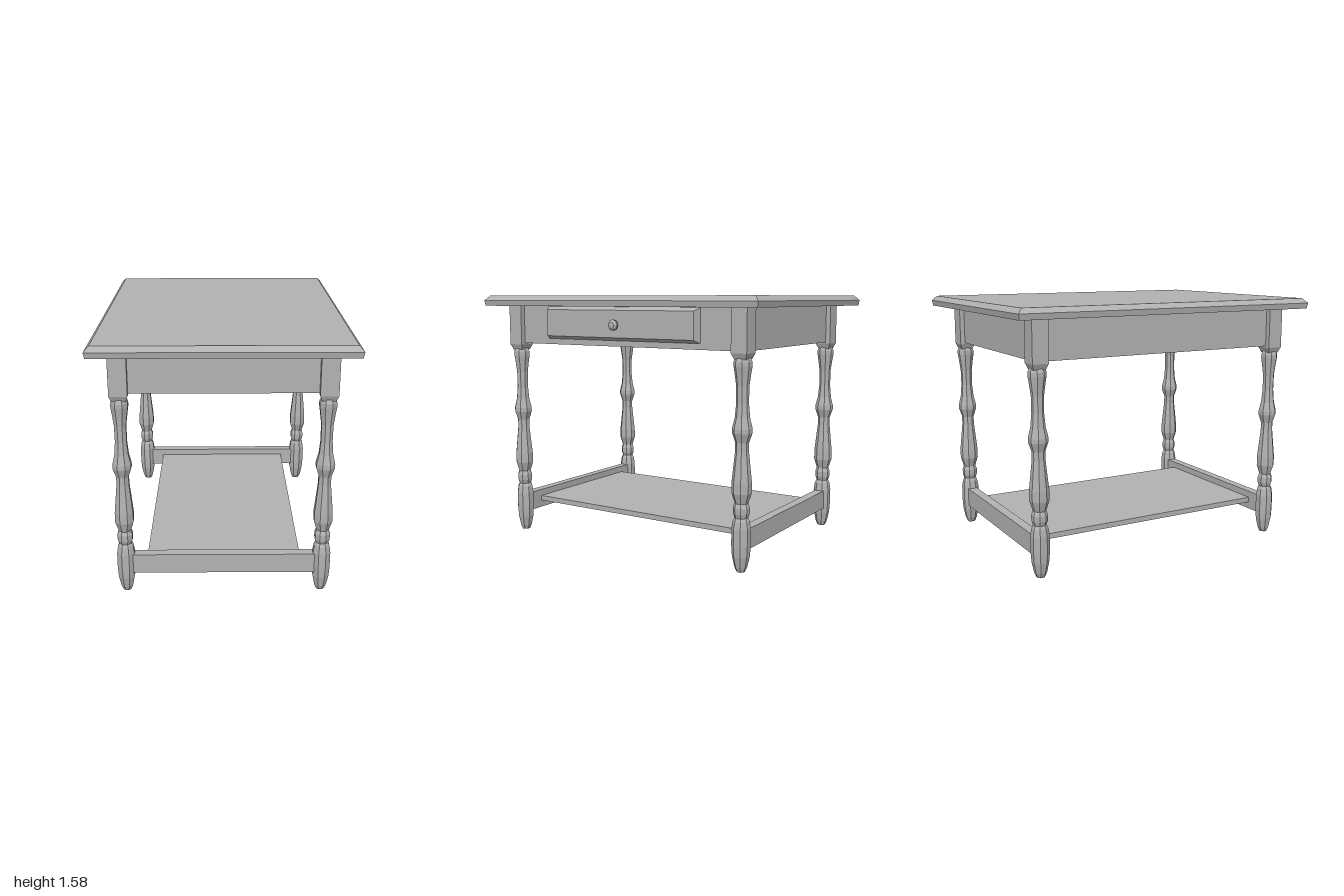
import * as THREE from 'three';

export function createModel() {
  const table = new THREE.Group();
  table.name = 'sideTable';
  const grey = new THREE.MeshStandardMaterial({ color: 0xb2b2b2, flatShading: true });
  grey.name = 'plainGrey';

  function add(name, geometry, x = 0, y = 0, z = 0, parent = table) {
    const mesh = new THREE.Mesh(geometry, grey);
    mesh.name = name;
    mesh.position.set(x, y, z);
    parent.add(mesh);
    return mesh;
  }

  // Block standing on y = 0 whose top (or bottom) face is inset for a bevel
  function block(w, h, d, topInset = 0, bottomInset = 0) {
    const g = new THREE.BoxGeometry(w, h, d);
    const p = g.attributes.position;
    for (let i = 0; i < p.count; i++) {
      const inset = p.getY(i) > 0 ? topInset : bottomInset;
      p.setX(i, p.getX(i) - Math.sign(p.getX(i)) * inset);
      p.setZ(i, p.getZ(i) - Math.sign(p.getZ(i)) * inset);
    }
    g.translate(0, h / 2, 0);
    g.computeVertexNormals();
    return g;
  }

  // Tabletop: straight lip with a bevelled upper edge
  add('tabletopLip', block(1.5, 0.035, 2, 0, 0.006), 0, 1.515, 0);
  add('tabletopBevel', block(1.5, 0.03, 2, 0.028), 0, 1.55, 0);

  // Closed apron box below the top
  add('apron', block(1.22, 0.245, 1.7), 0, 1.272, 0);

  // Drawer front on the +x side, bevelled outwards, with its knob
  const drawer = add('drawerFront', block(0.205, 0.045, 1.13, 0.02), 0.61, 1.41, 0);
  drawer.rotation.z = -Math.PI / 2;
  const knobProfile = [[0.022, 0], [0.014, 0.012], [0.014, 0.02], [0.033, 0.032], [0.034, 0.044], [0.018, 0.056], [0, 0.058]]
    .map(([r, y]) => new THREE.Vector2(r, y));
  const knob = add('drawerKnob', new THREE.LatheGeometry(knobProfile, 8), 0.645, 1.405, 0);
  knob.rotation.z = -Math.PI / 2;

  // Turned legs with square upper posts
  const turning = [
    [0, 0.005], [0.024, 0.006], [0.036, 0.035], [0.049, 0.1], [0.053, 0.16], [0.053, 0.26],
    [0.046, 0.305], [0.037, 0.325], [0.045, 0.35], [0.046, 0.385], [0.037, 0.41], [0.055, 0.47], [0.055, 0.53],
    [0.047, 0.61], [0.037, 0.71], [0.037, 0.76], [0.055, 0.815], [0.055, 0.84],
    [0.041, 0.9], [0.034, 0.98], [0.035, 1.08], [0.044, 1.15], [0.05, 1.19],
    [0.05, 1.215], [0.04, 1.24],
  ].map(([r, y]) => new THREE.Vector2(r, y));
  const legGeometry = new THREE.LatheGeometry(turning, 8, Math.PI / 8);
  legGeometry.scale(1.06, 1, 1.06);
  const taperGeometry = block(0.106, 0.035, 0.1, 0, 0.014);
  const postGeometry = block(0.106, 0.255, 0.1);
  for (const sx of [-1, 1]) {
    for (const sz of [-1, 1]) {
      const leg = new THREE.Group();
      leg.name = (sz > 0 ? 'front' : 'back') + (sx > 0 ? 'Left' : 'Right') + 'Leg';
      leg.position.set(sx * 0.59, 0, sz * 0.83);
      add('turnedLeg', legGeometry, 0, 0, 0, leg);
      add('postTaper', taperGeometry, 0, 1.228, 0, leg);
      add('squarePost', postGeometry, 0, 1.263, 0, leg);
      table.add(leg);
    }
  }

  // End stretchers carrying the low shelf
  for (const sz of [-1, 1]) {
    add(sz > 0 ? 'frontStretcher' : 'backStretcher', block(1.12, 0.122, 0.06), 0, 0.132, sz * 0.83);
  }
  add('lowerShelf', block(0.93, 0.033, 1.64), 0, 0.178, 0);

  return table;
}
